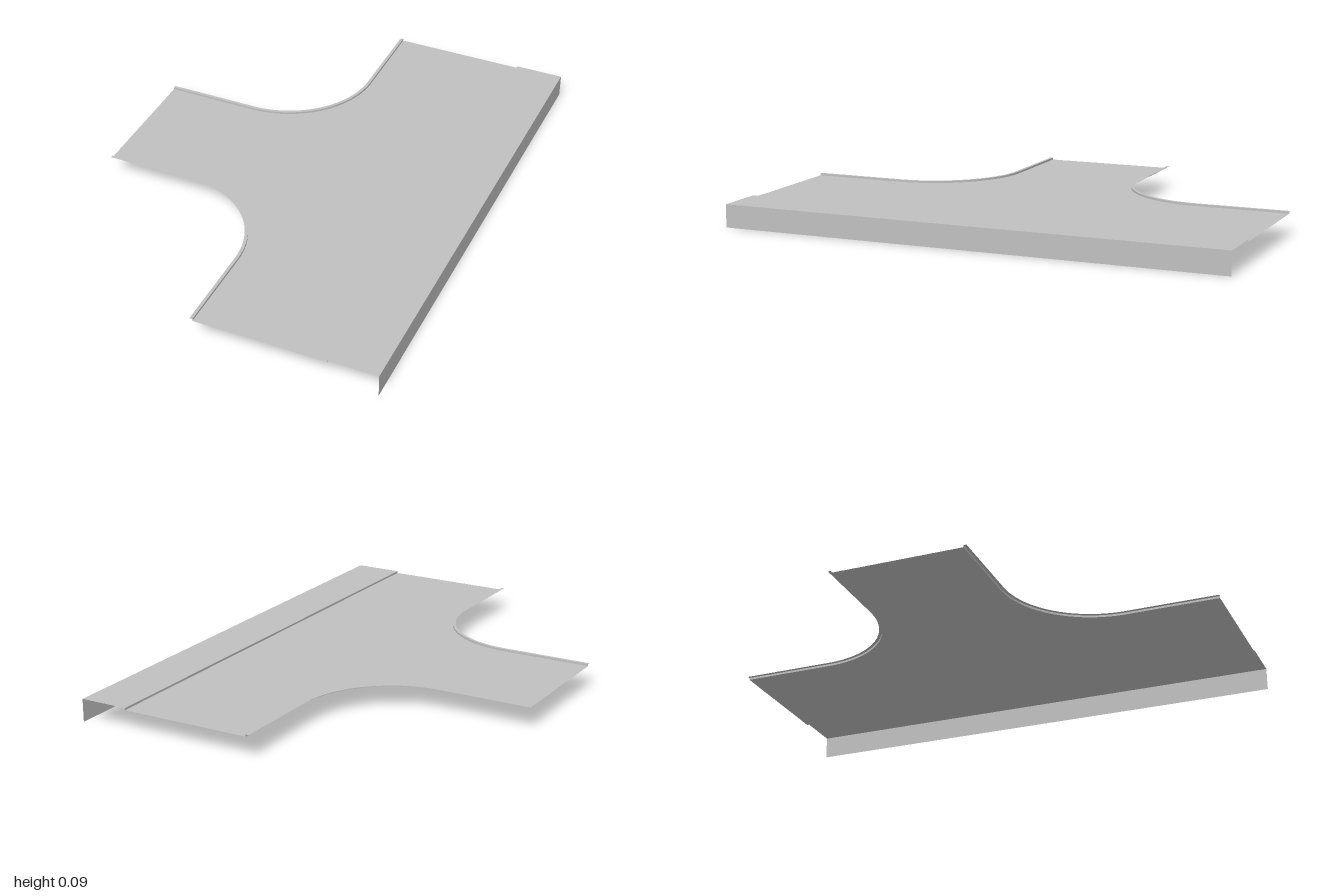
import * as THREE from 'three';

const ROAD_Y = 0.08, KERB_Y = 0.088;              // heights
const CENTRE_Z = -0.0235, HALF_LENGTH = 0.9775;   // main road
const ARM_X = -0.735, ARM_HALF = 0.268;           // side road
const SIDE_X = -0.03, RADIUS = 0.35;              // corner curve
const WALK_X = 0.492, OUTER_X = 0.68;             // pavement strip
const KERB_WIDTH = 0.012;

// Corner outline as [x, z], from the side road's end round to the main road's end
function cornerLine(side, inset) {
  const cx = SIDE_X - RADIUS, cz = ARM_HALF + RADIUS, r = RADIUS + inset;
  const line = [[ARM_X, ARM_HALF - inset]];
  const steps = 24;
  for (let i = 0; i <= steps; i++) {
    const a = (i / steps) * Math.PI / 2;
    line.push([cx + r * Math.sin(a), cz - r * Math.cos(a)]);
  }
  line.push([SIDE_X + inset, HALF_LENGTH]);
  return line.map(([x, z]) => [x, CENTRE_Z + side * z]);
}

// Ribbon between two lines of [x, y, z] points
function ribbon(a, b, flip = false) {
  const positions = [], index = [];
  a.forEach((p, i) => positions.push(...p, ...b[i]));
  for (let i = 0; i < a.length - 1; i++) {
    const k = 2 * i;
    if (flip) index.push(k, k + 3, k + 1, k, k + 2, k + 3);
    else index.push(k, k + 1, k + 3, k, k + 3, k + 2);
  }
  const geometry = new THREE.BufferGeometry();
  geometry.setAttribute('position', new THREE.Float32BufferAttribute(positions, 3));
  geometry.setIndex(index);
  geometry.computeVertexNormals();
  return geometry;
}

const raise = (line, y) => line.map(([x, z]) => [x, y, z]);

export function createModel() {
  const model = new THREE.Group();
  model.name = 'roadJunction';
  const concrete = new THREE.MeshStandardMaterial({ color: 0xc0c0c0, side: THREE.DoubleSide });
  concrete.name = 'concreteGrey';
  const add = (name, geometry) => {
    const mesh = new THREE.Mesh(geometry, concrete);
    mesh.name = name;
    model.add(mesh);
  };

  // Road surface: T shape with two rounded inner corners
  const back = CENTRE_Z - HALF_LENGTH, front = CENTRE_Z + HALF_LENGTH;
  const outline = [
    ...cornerLine(-1, KERB_WIDTH),
    [WALK_X, back], [WALK_X, front],
    ...cornerLine(1, KERB_WIDTH).reverse(),
  ];
  const shape = new THREE.Shape(outline.map(([x, z]) => new THREE.Vector2(x, -z)));
  add('roadSurface', new THREE.ShapeGeometry(shape).rotateX(-Math.PI / 2).translate(0, ROAD_Y, 0));

  // Raised kerbs along both corners
  for (const [side, label] of [[-1, 'back'], [1, 'front']]) {
    const outer = cornerLine(side, 0), inner = cornerLine(side, KERB_WIDTH);
    add(label + 'KerbTop', ribbon(raise(outer, KERB_Y), raise(inner, KERB_Y), side > 0));
    add(label + 'KerbFace', ribbon(raise(inner, KERB_Y), raise(inner, ROAD_Y), side > 0));
  }

  // Pavement along the straight side: step, top and outer wall
  const along = (x, y) => [[x, y, front], [x, y, back]];
  add('pavementStep', ribbon(along(WALK_X, ROAD_Y), along(WALK_X, KERB_Y)));
  add('pavementTop', ribbon(along(WALK_X, KERB_Y), along(OUTER_X, KERB_Y)));
  add('outerWall', ribbon(along(OUTER_X, KERB_Y), along(OUTER_X, 0)));

  // The whole junction sits slightly turned
  model.rotation.y = THREE.MathUtils.degToRad(-4);
  return model;
}
